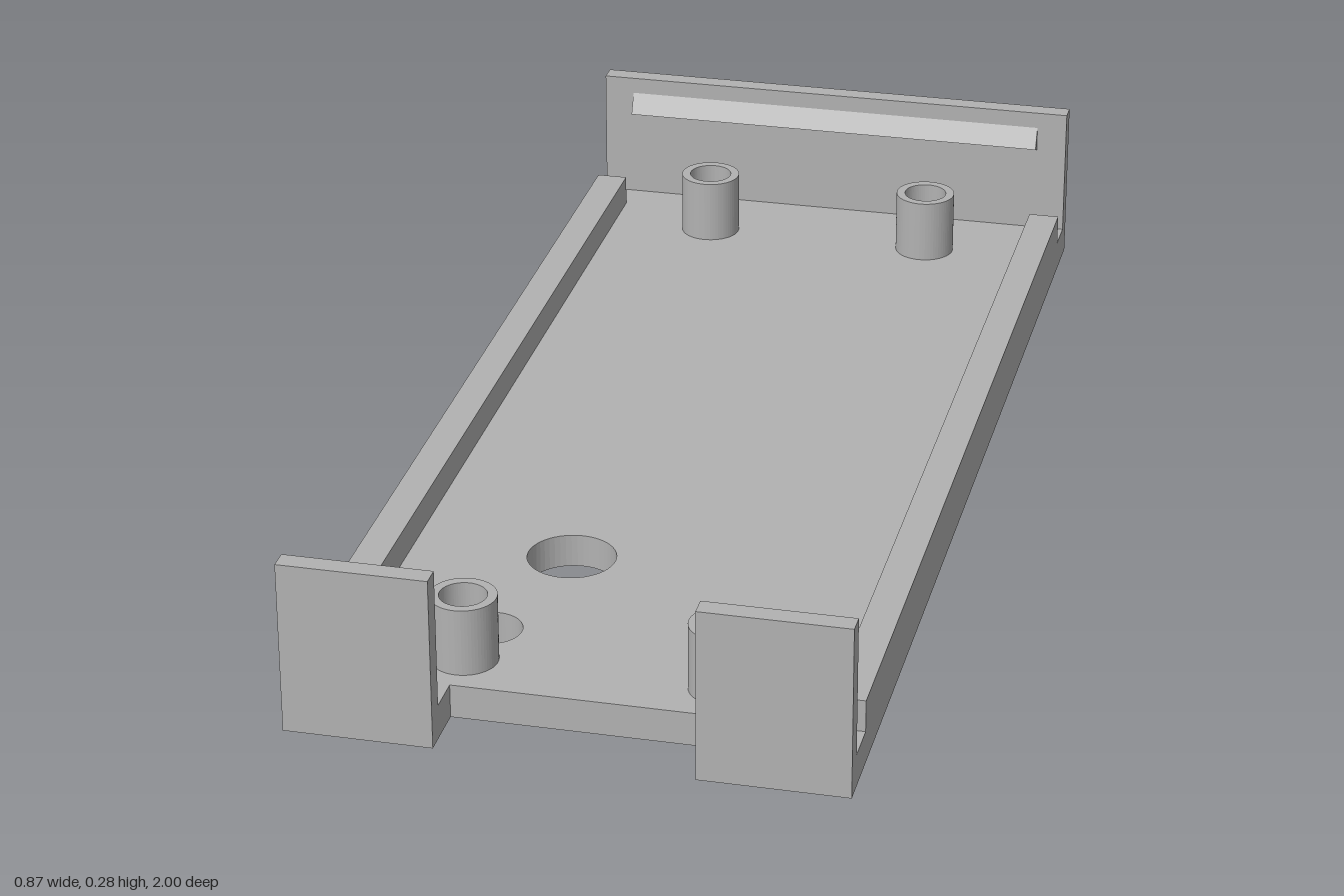
import * as THREE from 'three';

const W = 0.433, FLOOR = 0.055, RAIL = 0.107, WALL = 0.281, WALL_T = 0.033;

export function createModel() {
  const model = new THREE.Group();
  model.name = 'enclosureTray';
  const grey = new THREE.MeshStandardMaterial({ color: 0xb2b2b2 });
  grey.name = 'plain grey';

  function add(name, geometry, x = 0, y = 0, z = 0) {
    const mesh = new THREE.Mesh(geometry, grey);
    mesh.name = name;
    mesh.position.set(x, y, z);
    model.add(mesh);
    return mesh;
  }

  // Box given by its min and max on each axis
  function block(name, x0, x1, y0, y1, z0, z1) {
    add(name, new THREE.BoxGeometry(x1 - x0, y1 - y0, z1 - z0),
      (x0 + x1) / 2, (y0 + y1) / 2, (z0 + z1) / 2);
  }

  // Floor plate, drawn in x/z, with front notch, round hole and slot
  const plate = new THREE.Shape([
    [-W, -1], [W, -1], [W, 1], [0.2, 1], [0.2, 0.905],
    [-0.2, 0.905], [-0.2, 1], [-W, 1],
  ].map(([x, z]) => new THREE.Vector2(x, z)));
  plate.holes.push(new THREE.Path().absarc(-0.125, 0.47, 0.071, 0, Math.PI * 2, true));
  const slot = new THREE.Path();
  slot.absarc(-0.187, 0.722, 0.049, -Math.PI / 2, Math.PI / 2, false);
  slot.absarc(-0.213, 0.722, 0.049, Math.PI / 2, Math.PI * 1.5, false);
  plate.holes.push(slot);
  const floor = new THREE.ExtrudeGeometry(plate, { depth: FLOOR, bevelEnabled: false, curveSegments: 24 });
  floor.rotateX(Math.PI / 2);
  add('floor', floor, 0, FLOOR, 0);

  // Wedge-shaped snap ridge on the inner face of an end wall; side is the sign of z
  function snapRidge(name, x0, x1, side) {
    const zWall = 1 - WALL_T;
    const section = new THREE.Shape();
    section.moveTo(-zWall - 0.002, 0.208);
    section.lineTo(-zWall + 0.016, 0.215);
    section.lineTo(-zWall, 0.252);
    section.lineTo(-zWall - 0.002, 0.252);
    const g = new THREE.ExtrudeGeometry(section, { depth: x1 - x0, bevelEnabled: false });
    g.translate(0, 0, -(x1 - x0) / 2);
    g.rotateY(side > 0 ? Math.PI / 2 : -Math.PI / 2);
    add(name, g, (x0 + x1) / 2, 0, 0);
  }

  // Full-width back wall
  block('backWall', -W, W, FLOOR, WALL, -1, -1 + WALL_T);
  snapRidge('backSnapRidge', -0.38, 0.38, -1);

  for (const s of [-1, 1]) {
    const side = s > 0 ? 'left' : 'right';
    const span = (a, b) => (s > 0 ? [a, b] : [-b, -a]);
    // Side rails stop short of the end walls
    block(side + 'Rail', ...span(0.38, W), FLOOR, RAIL, -0.905, 0.9);
    // Front tabs either side of the notch
    block(side + 'FrontTab', ...span(0.2, W), FLOOR, WALL, 1 - WALL_T, 1);
    snapRidge(side + 'FrontSnapRidge', ...span(0.225, 0.405), 1);
  }

  // Hollow mounting posts
  const ring = new THREE.Shape().absarc(0, 0, 0.052, 0, Math.PI * 2, false);
  ring.holes.push(new THREE.Path().absarc(0, 0, 0.037, 0, Math.PI * 2, true));
  const post = new THREE.ExtrudeGeometry(ring, { depth: 0.165 - FLOOR, bevelEnabled: false, curveSegments: 32 });
  post.rotateX(-Math.PI / 2);
  for (const x of [-0.2, 0.2]) {
    for (const z of [-0.826, 0.822]) {
      add((z > 0 ? 'front' : 'back') + (x > 0 ? 'Left' : 'Right') + 'Post', post, x, FLOOR, z);
    }
  }
  return model;
}
